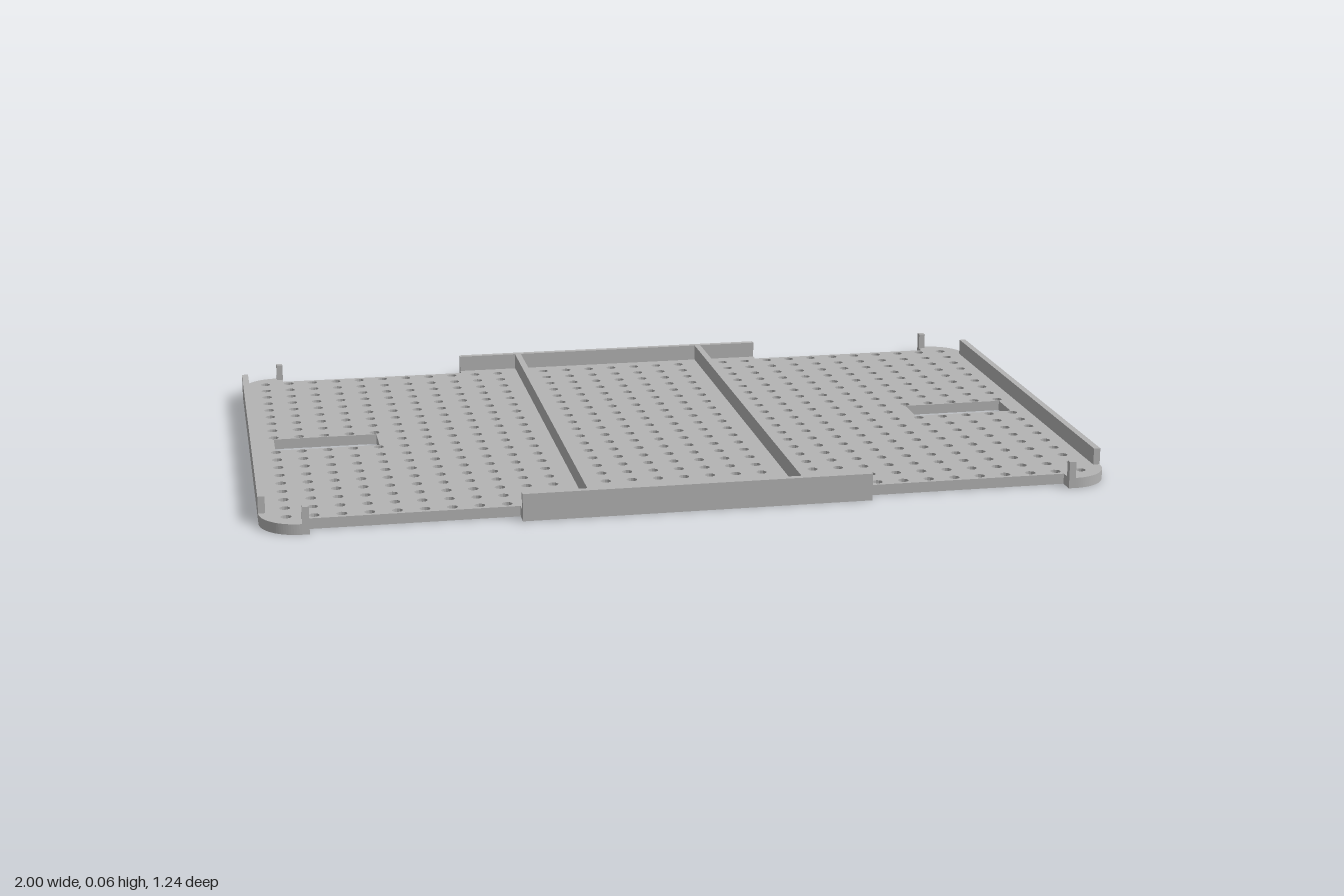
import * as THREE from 'three';

const HX = 1, HZ = 0.622;       // half length, half width
const T = 0.025, H = 0.065;     // plate thickness, wall height
const W = 0.016;                // wall thickness
const R = 0.093;                // corner radius
const PITCH = 0.0626;           // hole spacing
const NOTCH_Z = 0.585, NOTCH_IN = 0.41, NOTCH_OUT = 0.89;

export function createModel() {
  const group = new THREE.Group();
  const grey = new THREE.MeshStandardMaterial({ color: 0xb3b3b3 });
  grey.name = 'grey plastic';

  const add = (name, geometry) => {
    const mesh = new THREE.Mesh(geometry, grey);
    mesh.name = name;
    group.add(mesh);
    return mesh;
  };
  // Box given by its limits
  const block = (name, x0, x1, y0, y1, z0, z1) =>
    add(name, new THREE.BoxGeometry(x1 - x0, y1 - y0, z1 - z0))
      .position.set((x0 + x1) / 2, (y0 + y1) / 2, (z0 + z1) / 2);

  // Outline with rounded corners and long notches on both sides
  const s = new THREE.Shape();
  s.moveTo(-HX + R, -HZ);
  s.lineTo(-NOTCH_OUT, -HZ);
  s.lineTo(-NOTCH_OUT, -NOTCH_Z);
  s.lineTo(-NOTCH_IN, -NOTCH_Z);
  s.lineTo(-NOTCH_IN, -HZ);
  s.lineTo(NOTCH_IN, -HZ);
  s.lineTo(NOTCH_IN, -NOTCH_Z);
  s.lineTo(NOTCH_OUT, -NOTCH_Z);
  s.lineTo(NOTCH_OUT, -HZ);
  s.lineTo(HX - R, -HZ);
  s.absarc(HX - R, -HZ + R, R, -Math.PI / 2, 0, false);
  s.lineTo(HX, HZ - R);
  s.absarc(HX - R, HZ - R, R, 0, Math.PI / 2, false);
  s.lineTo(NOTCH_OUT, HZ);
  s.lineTo(NOTCH_OUT, NOTCH_Z);
  s.lineTo(NOTCH_IN, NOTCH_Z);
  s.lineTo(NOTCH_IN, HZ);
  s.lineTo(-NOTCH_IN, HZ);
  s.lineTo(-NOTCH_IN, NOTCH_Z);
  s.lineTo(-NOTCH_OUT, NOTCH_Z);
  s.lineTo(-NOTCH_OUT, HZ);
  s.lineTo(-HX + R, HZ);
  s.absarc(-HX + R, HZ - R, R, Math.PI / 2, Math.PI, false);
  s.lineTo(-HX, -HZ + R);
  s.absarc(-HX + R, -HZ + R, R, Math.PI, Math.PI * 1.5, false);

  // Grid of round holes, leaving out the rib columns and the slots
  for (let i = -15; i <= 15; i++) {
    if (Math.abs(i) === 4) continue;
    for (let j = -9; j <= 9; j++) {
      if (j === 0 && Math.abs(i) >= 11) continue;
      const pts = [];
      for (let k = 0; k < 12; k++) {
        const a = -k * Math.PI / 6;
        pts.push(new THREE.Vector2(i * PITCH + 0.0125 * Math.cos(a), j * PITCH + 0.0125 * Math.sin(a)));
      }
      s.holes.push(new THREE.Path(pts));
    }
  }

  // Hand slots
  for (const c of [-0.8125, 0.8125]) {
    const hx = 0.127, hz = 0.047;
    s.holes.push(new THREE.Path([[-hx, -hz], [-hx, hz], [hx, hz], [hx, -hz]]
      .map(([x, y]) => new THREE.Vector2(c + x, y))));
  }

  const plate = new THREE.ExtrudeGeometry(s, { depth: T, bevelEnabled: false, curveSegments: 12 });
  plate.rotateX(-Math.PI / 2);
  add('perforatedPlate', plate);

  for (const side of [-1, 1]) {
    const span = (a, b) => (side > 0 ? [a, b] : [-b, -a]);
    // Low walls on the short ends
    block('endWall', ...span(HX - W, HX), T, H, -HZ + R, HZ - R);
    // Cross ribs
    block('crossRib', ...span(0.243, 0.259), T, H, -HZ + W, HZ - W);
    // Walls in the middle of the long sides
    block('sideWall', -NOTCH_IN, NOTCH_IN, T, H, ...span(HZ - W, HZ));
    // Small posts beside the corners
    for (const end of [-1, 1]) {
      const z = end * (HZ - W / 2);
      block('cornerPost', ...span(NOTCH_OUT, NOTCH_OUT + W), T, H, z - W / 2, z + W / 2);
    }
  }
  return group;
}
